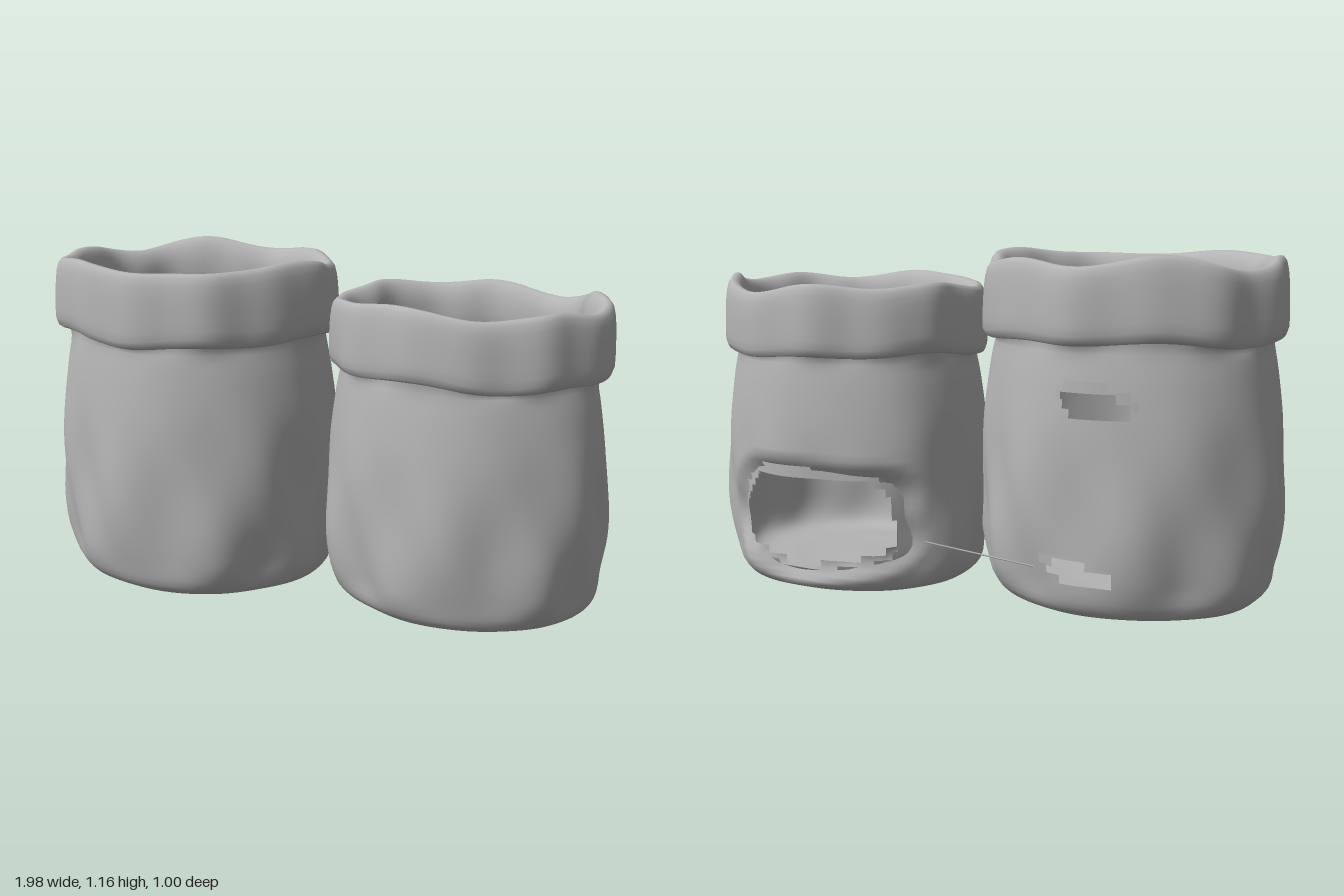
import * as THREE from 'three';

const clay = new THREE.MeshStandardMaterial({ color: 0xb4b4b4, side: THREE.DoubleSide });
clay.name = 'plain grey';

// Radius (share of the bag's half width) and height (share of the bag's height),
// from the outside of the base, over the rolled cuff and down to the inner floor.
const PROFILE = [
  [0, 0.006], [0.5, 0.003], [0.8, 0.008], [0.92, 0.035], [0.97, 0.1], [1.0, 0.22], [1.0, 0.38],
  [0.98, 0.54], [0.94, 0.68], [0.91, 0.755], [0.91, 0.785], [0.965, 0.78], [0.995, 0.805],
  [0.995, 0.87], [0.985, 0.94], [0.965, 0.985], [0.925, 1.0], [0.87, 0.985], [0.83, 0.94],
  [0.83, 0.87], [0.87, 0.81], [0.89, 0.72], [0.92, 0.5], [0.92, 0.25], [0.87, 0.07], [0.5, 0.045], [0, 0.045],
].map(([r, y]) => new THREE.Vector2(r, y));

const SIDES = 128, ROWS = 150;
const smooth = THREE.MathUtils.smoothstep;

// Distance from a hole's middle: below 1 is inside the opening
function holeDistance(hole, a, y) {
  const da = Math.atan2(Math.sin(a - hole.a), Math.cos(a - hole.a));
  const dy = y - hole.y - (hole.tilt || 0) * da;
  const ragged = 1 + 0.05 * Math.sin(5 * Math.atan2(dy / hole.h, da / hole.w) + hole.y * 9);
  return Math.pow(Math.abs(da / hole.w) ** 2.6 + Math.abs(dy / hole.h) ** 2.6, 1 / 2.6) / ragged;
}

function makeBag(name, { x, z, rx, rz, height, phase, holes }) {
  const rows = new THREE.SplineCurve(PROFILE).getSpacedPoints(ROWS);
  let peak = 0;
  rows.forEach((p, i) => { if (p.y > rows[peak].y) peak = i; });
  const positions = [], index = [], coords = [];

  rows.forEach((p, i) => {
    for (let j = 0; j < SIDES; j++) {
      const a = (j / SIDES) * Math.PI * 2;
      const outer = i <= peak;
      const cuff = smooth(p.y, 0.74, 0.8);
      // Slanting cloth folds, strongest near the base
      const low = smooth(p.y, 0.01, 0.12) * (1 - smooth(p.y, 0.2, 0.65));
      const folds = 0.022 * Math.sin(7 * a + phase + p.y * 5) + 0.016 * Math.sin(11 * a - phase * 2 - p.y * 9);
      const body = 0.009 * Math.sin(5 * a + phase * 3);
      const waves = 0.014 * Math.sin(8 * a + phase) + 0.01 * Math.sin(13 * a + phase * 2);
      let r = p.x * (1 + body + (outer ? 1 : 0.5) * folds * (low + 0.15) + waves * cuff);
      let y = p.y * height;
      y += cuff * (0.01 * Math.sin(3 * a + phase) + 0.009 * Math.sin(6 * a + phase * 2));
      y += smooth(p.y, 0.9, 1) * 0.009 * Math.sin(5 * a - phase);
      // Cloth tucked inwards around an opening
      for (const h of holes) {
        if (outer && h.tuck) r -= h.tuck * (1 - smooth(holeDistance(h, a, y), 1.0, 1.3)) * smooth(p.y, 0.02, 0.06);
      }
      positions.push(x + rx * r * Math.cos(a), Math.max(0, y), z + rz * r * Math.sin(a));
      coords.push([a, y, p.x]);
    }
  });

  for (let i = 0; i < ROWS; i++) {
    for (let j = 0; j < SIDES; j++) {
      const k = (j + 1) % SIDES;
      const a = i * SIDES + j, b = (i + 1) * SIDES + j, c = i * SIDES + k, d = (i + 1) * SIDES + k;
      const [ang, y, r] = coords[a];
      if (r > 0.7 && holes.some((h) => holeDistance(h, ang, y) < 1)) continue;
      index.push(a, b, c, b, d, c);
    }
  }
  const geometry = new THREE.BufferGeometry();
  geometry.setAttribute('position', new THREE.Float32BufferAttribute(positions, 3));
  geometry.setIndex(index);
  geometry.computeVertexNormals();
  const mesh = new THREE.Mesh(geometry, clay);
  mesh.name = name;
  return mesh;
}

export function createModel() {
  const model = new THREE.Group();
  model.name = 'pairOfSacks';
  const back = -Math.PI / 2;

  // Taller sack with two small tears in the back
  model.add(makeBag('tallSack', {
    x: -0.47, z: 0.035, rx: 0.515, rz: 0.455, height: 1.14, phase: 0.6,
    holes: [
      { a: back - 0.04, y: 0.7, w: 0.25, h: 0.055, tilt: 0.08 },
      { a: back + 0.05, y: 0.16, w: 0.24, h: 0.045, tilt: 0.08 },
    ],
  }));

  // Shorter sack with a large opening low in the back
  model.add(makeBag('shortSack', {
    x: 0.515, z: -0.095, rx: 0.48, rz: 0.4, height: 1.045, phase: 2.3,
    holes: [{ a: back - 0.05, y: 0.26, w: 0.72, h: 0.165, tuck: 0.09 }],
  }));

  // Loose thread between the sacks
  const from = new THREE.Vector3(-0.28, 0.17, -0.385), to = new THREE.Vector3(0.12, 0.2, -0.36);
  const thread = new THREE.Mesh(
    new THREE.TubeGeometry(new THREE.LineCurve3(from, to), 2, 0.003, 5), clay);
  thread.name = 'looseThread';
  model.add(thread);
  return model;
}
